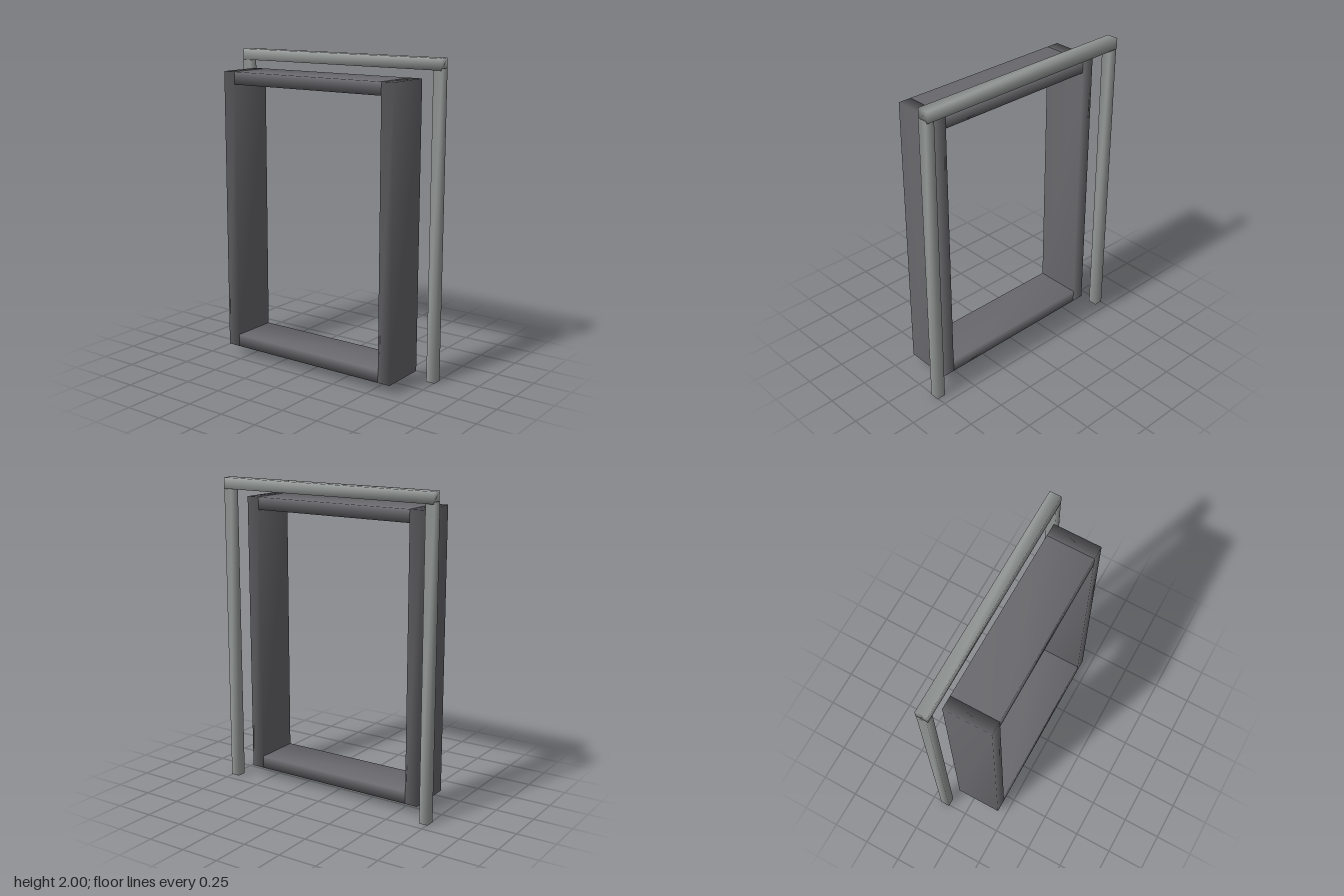
import * as THREE from 'three';
import { mergeVertices } from 'three/addons/utils/BufferGeometryUtils.js';

const frameMaterial = new THREE.MeshStandardMaterial({ color: 0x6a6a6e });
const trimMaterial = new THREE.MeshStandardMaterial({ color: 0x989d9b });

// Box between two corners, with normals shared across its edges for soft shading
function beam(name, min, max, material) {
  const size = max.map((v, i) => v - min[i]);
  let geometry = new THREE.BoxGeometry(...size);
  geometry.deleteAttribute('normal');
  geometry.deleteAttribute('uv');
  geometry = mergeVertices(geometry);
  geometry.computeVertexNormals();
  const mesh = new THREE.Mesh(geometry, material);
  mesh.name = name;
  mesh.position.set(...max.map((v, i) => (v + min[i]) / 2));
  return mesh;
}

export function createModel() {
  const model = new THREE.Group();
  model.name = 'doorFrame';

  // Deep inner frame: two jambs joined by a head and a sill
  const frame = new THREE.Group();
  frame.name = 'innerFrame';
  const outer = 0.635, inner = 0.55, back = -0.108, front = 0.199;
  const bottom = 0.063, top = 1.88, rail = 0.08;
  frame.add(
    beam('leftJamb', [inner, bottom, back], [outer, top, front], frameMaterial),
    beam('rightJamb', [-outer, bottom, back], [-inner, top, front], frameMaterial),
    beam('head', [-inner, top - rail, back], [inner, top, front], frameMaterial),
    beam('sill', [-inner, bottom, back], [inner, bottom + rail, front], frameMaterial)
  );

  // Slim trim behind: two posts carrying a crossbar
  const trim = new THREE.Group();
  trim.name = 'rearTrim';
  trim.add(
    beam('leftPost', [0.697, 0, -0.19], [0.756, 1.94, -0.128], trimMaterial),
    beam('rightPost', [-0.756, 0, -0.19], [-0.697, 1.94, -0.128], trimMaterial),
    beam('crossbar', [-0.75, 1.929, -0.199], [0.75, 2, -0.124], trimMaterial)
  );

  model.add(frame, trim);
  return model;
}
